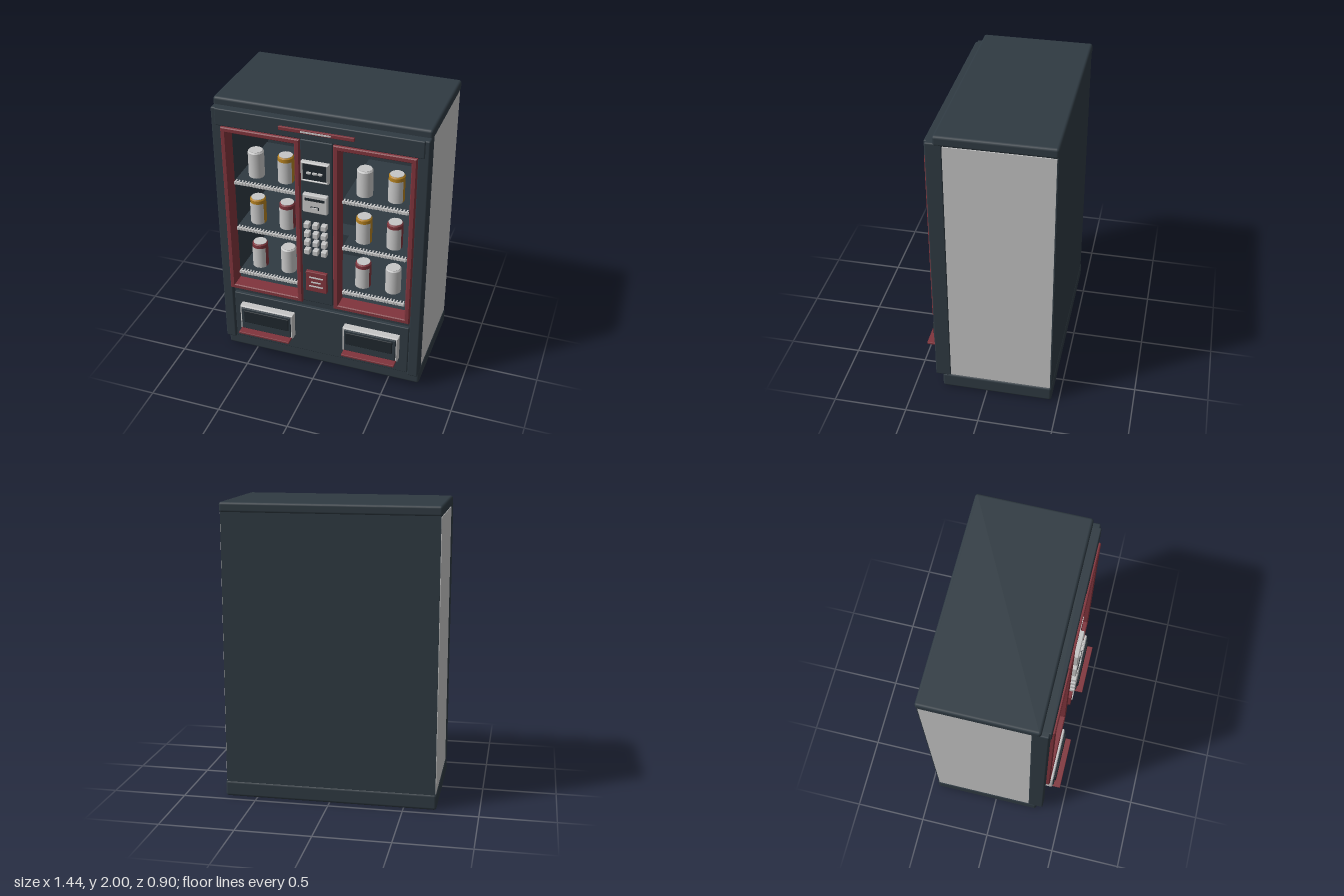
import * as THREE from 'three';
import { RoundedBoxGeometry } from 'three/addons/geometries/RoundedBoxGeometry.js';

const mat = (name, color) => {
  const m = new THREE.MeshStandardMaterial({ color });
  m.name = name;
  return m;
};

export function createModel() {
  const dark = mat('dark slate', 0x2f3a42);
  const black = mat('near black', 0x1f272d);
  const red = mat('deep red', 0x80343c);
  const light = mat('light grey', 0xc6c6c6);
  const yellow = mat('amber', 0xb5811f);
  const root = new THREE.Group();
  root.name = 'vendingMachine';

  // Box given by its limits on each axis; r rounds the edges
  function box(name, m, [x0, x1], [y0, y1], [z0, z1], r = 0, parent = root) {
    const s = [x1 - x0, y1 - y0, z1 - z0];
    const g = r ? new RoundedBoxGeometry(...s, 2, r) : new THREE.BoxGeometry(...s);
    const mesh = new THREE.Mesh(g, m);
    mesh.position.set((x0 + x1) / 2, (y0 + y1) / 2, (z0 + z1) / 2);
    mesh.name = name;
    parent.add(mesh);
    return mesh;
  }
  // Rectangular ring facing +z
  function frame(name, m, [x0, x1], [y0, y1], [z0, z1], t) {
    const rect = (P, a, b, c, d) => {
      const p = new P();
      p.moveTo(a, c); p.lineTo(b, c); p.lineTo(b, d); p.lineTo(a, d); p.closePath();
      return p;
    };
    const s = rect(THREE.Shape, x0, x1, y0, y1);
    s.holes.push(rect(THREE.Path, x0 + t, x1 - t, y0 + t, y1 - t));
    const b = 0.006;
    const g = new THREE.ExtrudeGeometry(s, {
      depth: z1 - z0 - b, bevelEnabled: true, bevelThickness: b, bevelSize: b, bevelOffset: -b, bevelSegments: 1,
    });
    const mesh = new THREE.Mesh(g, m);
    mesh.position.z = z0;
    mesh.name = name;
    root.add(mesh);
  }

  // Cabinet shell, hollow behind the windows
  box('base', dark, [-0.72, 0.72], [0, 0.11], [-0.45, 0.31], 0.018);
  box('topCap', dark, [-0.72, 0.72], [1.93, 2], [-0.45, 0.31], 0.018);
  box('backPanel', dark, [-0.71, 0.71], [0.1, 1.94], [-0.445, -0.41]);
  box('lowerBody', dark, [-0.67, 0.67], [0.1, 0.56], [-0.41, 0.32]);
  box('rearLedge', dark, [-0.66, 0.66], [0.55, 0.73], [-0.41, -0.27]);
  box('upperBody', dark, [-0.67, 0.67], [1.83, 1.94], [-0.41, 0.3]);
  box('header', dark, [-0.69, 0.69], [1.83, 1.95], [0.29, 0.368], 0.008);
  box('lowerFrontPanel', dark, [-0.64, 0.64], [0.11, 0.5], [0.3, 0.345], 0.006);
  for (const s of [-1, 1]) {
    const span = (a, b) => (s > 0 ? [a, b] : [-b, -a]);
    box('sideWall', dark, span(0.66, 0.707), [0.1, 1.94], [-0.44, 0.25]);
    box('sidePanel', light, span(0.707, 0.714), [0.11, 1.93], [-0.437, 0.252]);
    box('frontPost', dark, span(0.645, 0.718), [0.1, 1.95], [0.25, 0.358], 0.01);
    frame('windowFrame', red, span(0.112, 0.648), [0.565, 1.83], [0.28, 0.383], 0.034);

    // Dispenser hatch
    frame('hatchFrame', light, span(0.185, 0.58), [0.23, 0.43], [0.34, 0.397], 0.016);
    box('hatchBody', dark, span(0.198, 0.567), [0.242, 0.418], [0.34, 0.405], 0.006);
    box('hatchFlap', black, span(0.21, 0.545), [0.305, 0.405], [0.4, 0.415], 0.005);
    box('hatchLip', red, span(0.193, 0.573), [0.225, 0.241], [0.39, 0.455], 0.004);
  }

  // One can standing at x, y; a coloured can carries a light front label
  function can(x, y, color) {
    const g = new THREE.Group();
    g.name = 'can';
    const add = (geo, m, cy, name) => {
      const c = new THREE.Mesh(geo, m);
      c.position.y = cy;
      c.name = name;
      g.add(c);
    };
    add(new THREE.CylinderGeometry(0.054, 0.054, 0.18, 16), color, 0.095, 'canBody');
    add(new THREE.CylinderGeometry(0.047, 0.054, 0.008, 16), color, 0.189, 'canShoulder');
    add(new THREE.CylinderGeometry(0.046, 0.046, 0.004, 16), light, 0.194, 'canLid');
    add(new THREE.CylinderGeometry(0.05, 0.046, 0.006, 16), light, 0.003, 'canFoot');
    if (color !== light) {
      add(new THREE.CylinderGeometry(0.056, 0.056, 0.158, 10, 1, true, -1.08, 2.16), light, 0.083, 'canLabel');
    }
    g.position.set(x, y, 0.2);
    root.add(g);
  }

  // Shelves with ridged front rails, and their cans
  const rows = [[1.405, light, yellow], [1.045, yellow, red], [0.682, red, light]];
  for (const cx of [-0.38, 0.375]) {
    for (const [y, a, b] of rows) {
      box('shelf', dark, [cx - 0.22, cx + 0.22], [y - 0.018, y], [-0.25, 0.31]);
      box('shelfRail', light, [cx - 0.22, cx + 0.22], [y - 0.018, y - 0.002], [0.31, 0.325]);
      for (let i = 0; i < 20; i++) {
        const x = cx - 0.209 + i * 0.022;
        box('railRidge', light, [x - 0.005, x + 0.005], [y - 0.016, y + 0.003], [0.295, 0.332]);
      }
      can(cx - 0.107, y, a);
      can(cx + 0.105, y, b);
    }
  }

  // Header light
  box('headerStrip', red, [-0.25, 0.25], [1.878, 1.904], [0.365, 0.383], 0.004);
  box('headerLamp', light, [-0.1, 0.1], [1.886, 1.896], [0.38, 0.387]);

  // Control column
  box('controlColumn', dark, [-0.108, 0.108], [0.58, 1.835], [0.28, 0.375], 0.008);
  frame('displayFrame', light, [-0.095, 0.09], [1.555, 1.695], [0.37, 0.408], 0.014);
  box('displayScreen', black, [-0.083, 0.078], [1.567, 1.683], [0.37, 0.402]);
  for (const x of [-0.04, 0, 0.036]) {
    box('displayDash', light, [x - 0.014, x + 0.014], [1.616, 1.628], [0.4, 0.415]);
  }
  box('coinPlate', light, [-0.087, 0.082], [1.325, 1.46], [0.37, 0.408], 0.008);
  box('coinSlot', black, [-0.068, 0.066], [1.419, 1.436], [0.404, 0.413]);
  box('coinButtonRim', black, [-0.03, 0.027], [1.355, 1.377], [0.404, 0.411]);
  box('coinButton', light, [-0.025, 0.022], [1.359, 1.373], [0.406, 0.42]);
  for (const x of [-0.061, -0.002, 0.056]) {
    for (const y of [1.222, 1.152, 1.085, 1.017]) {
      box('key', light, [x - 0.019, x + 0.019], [y - 0.02, y + 0.02], [0.37, 0.414], 0.006);
    }
  }
  box('noticePanel', red, [-0.077, 0.072], [0.69, 0.85], [0.37, 0.4], 0.005);
  [[0.05, 0.808], [0.034, 0.77], [0.05, 0.737]].forEach(([w, y]) =>
    box('noticeBar', light, [-0.002 - w, -0.002 + w], [y - 0.004, y + 0.004], [0.398, 0.406]));

  return root;
}
